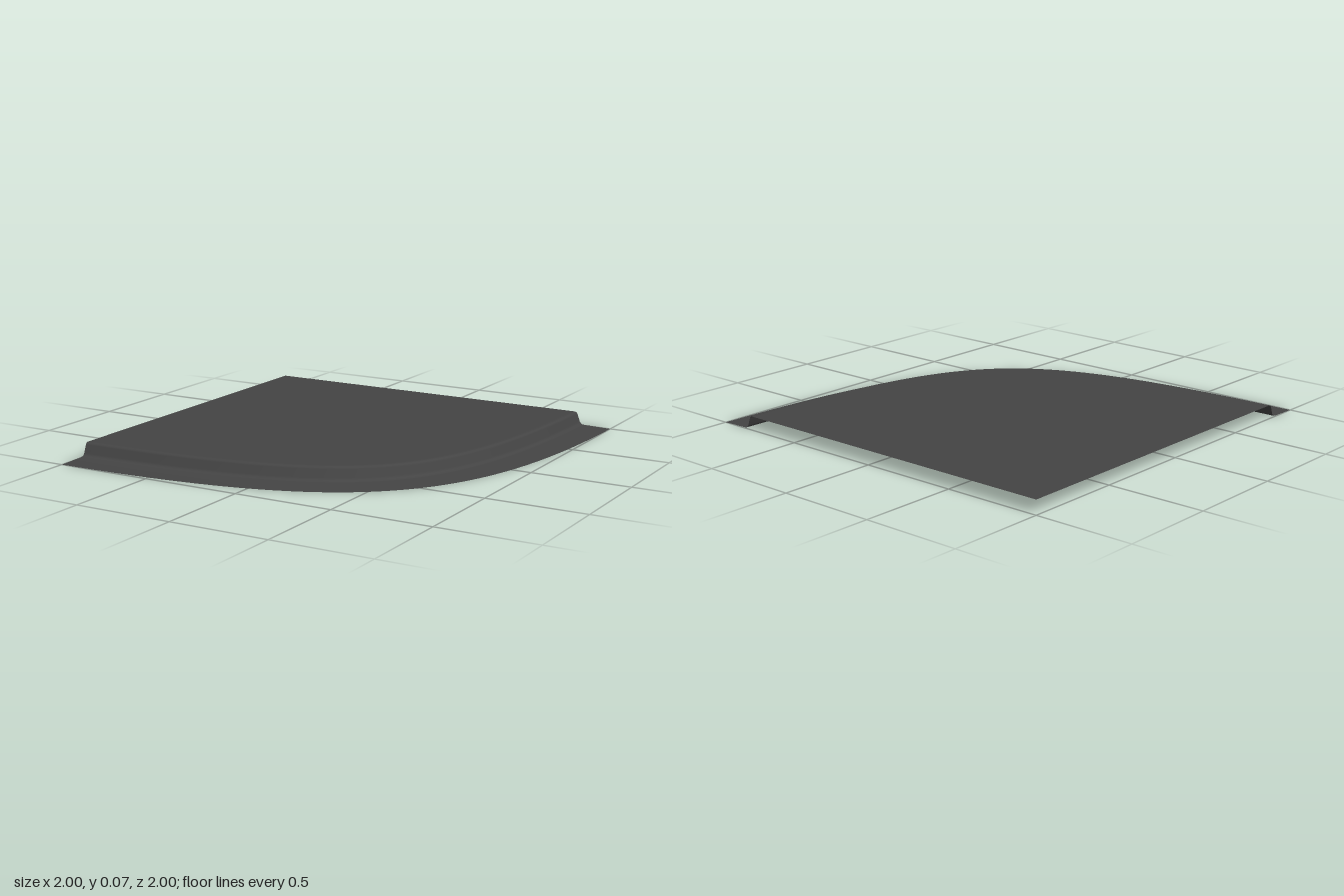
import * as THREE from 'three';

const SEGMENTS = 64;

// Outer edge of the quarter panel, sweeping from the front-left corner to the back-right one
const edge = new THREE.CubicBezierCurve(
  new THREE.Vector2(-1, 1), new THREE.Vector2(0.6, 0.98),
  new THREE.Vector2(0.98, 0.6), new THREE.Vector2(1, -1));

// Rim cross-section: [distance in from the outer edge, height]
const profile = [
  [0.22, 0.07], [0.205, 0.07], [0.197, 0.069], [0.19, 0.065], [0.185, 0.058],
  [0.171, 0.02], [0.165, 0.011], [0.157, 0.006], [0.145, 0.004], [0.08, 0.002], [0, 0],
];

// Point on the edge curve, moved inwards along its normal
function insetPoint(t, inset) {
  const p = edge.getPoint(t);
  const d = edge.getTangent(t);
  if (t === 0) d.set(1, 0);
  if (t === 1) d.set(0, -1);
  return new THREE.Vector2(
    Math.max(-1, p.x + d.y * inset), Math.max(-1, p.y - d.x * inset));
}

// Sweep the cross-section along the edge
function rimGeometry() {
  const positions = [], indices = [], n = profile.length;
  for (let i = 0; i <= SEGMENTS; i++) {
    for (const [inset, y] of profile) {
      const p = insetPoint(i / SEGMENTS, inset);
      positions.push(p.x, y, p.y);
    }
  }
  for (let i = 0; i < SEGMENTS; i++) {
    for (let j = 0; j < n - 1; j++) {
      const a = i * n + j, b = a + 1, c = a + n, d = c + 1;
      indices.push(a, b, c, b, d, c);
    }
  }
  const geometry = new THREE.BufferGeometry();
  geometry.setAttribute('position', new THREE.Float32BufferAttribute(positions, 3));
  geometry.setIndex(indices);
  geometry.computeVertexNormals();
  return geometry;
}

// Flat top, filling from the rim to the square back corner
function plateGeometry() {
  const [inset, height] = profile[0];
  const outline = [new THREE.Vector2(-1, 1)];
  for (let i = 0; i <= SEGMENTS; i++) {
    const p = insetPoint(i / SEGMENTS, inset);
    outline.push(new THREE.Vector2(p.x, -p.y));
  }
  const geometry = new THREE.ShapeGeometry(new THREE.Shape(outline));
  geometry.rotateX(-Math.PI / 2);
  geometry.translate(0, height, 0);
  return geometry;
}

export function createModel() {
  const group = new THREE.Group();
  group.name = 'curvedCornerPanel';
  const material = new THREE.MeshStandardMaterial({ color: 0x444444, side: THREE.DoubleSide });
  const parts = { topPlate: plateGeometry(), steppedRim: rimGeometry() };
  for (const [name, geometry] of Object.entries(parts)) {
    const mesh = new THREE.Mesh(geometry, material);
    mesh.name = name;
    group.add(mesh);
  }
  return group;
}
